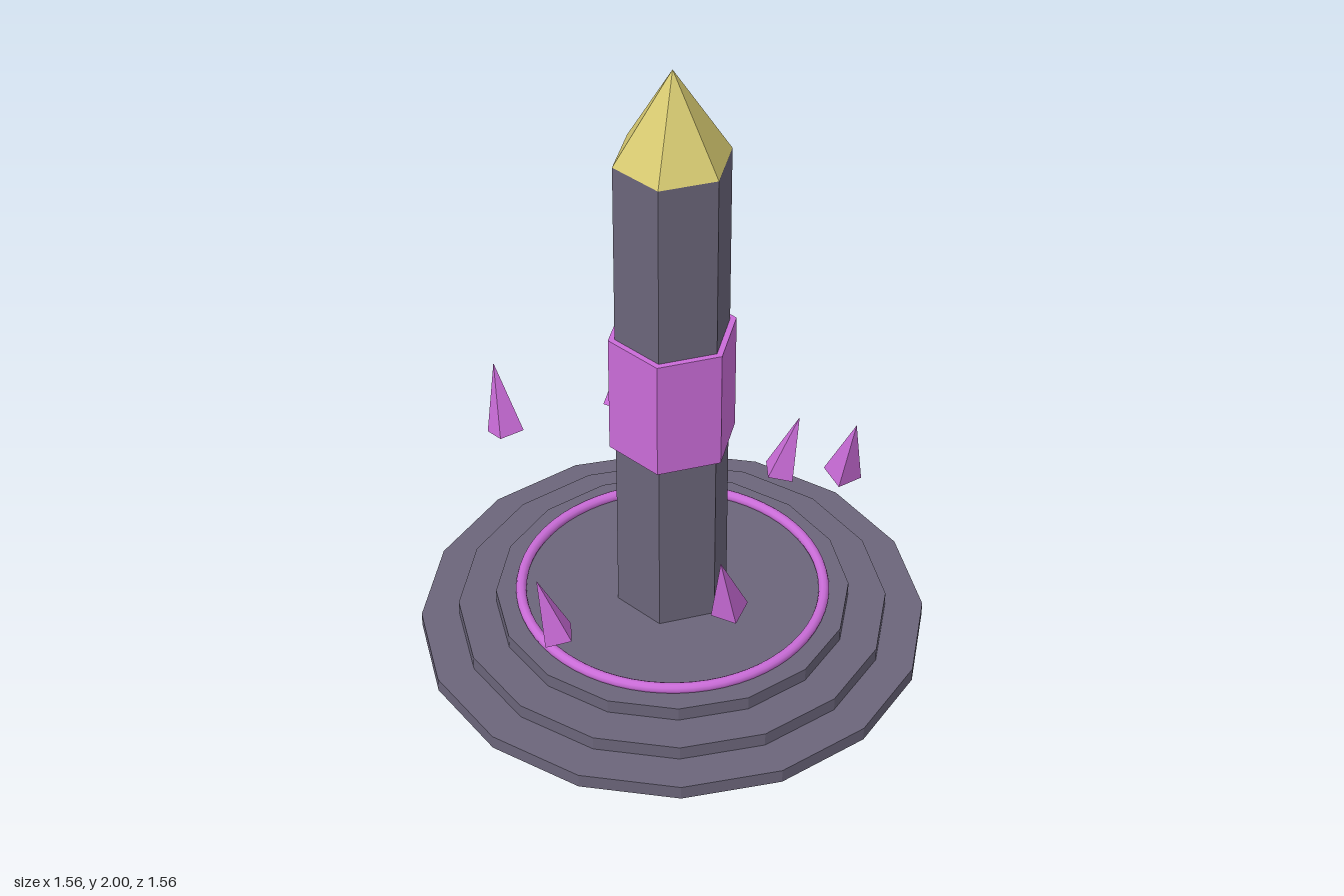
import * as THREE from 'three';

function flat(name, color) {
  return new THREE.MeshStandardMaterial({ name, color, flatShading: true });
}

export function createModel() {
  const model = new THREE.Group();
  model.name = 'crystalObelisk';

  const stone = flat('stone', 0x6b657a);
  const gold = flat('gold', 0xd8cb72);
  const crystal = flat('crystal', 0xca6cd8);
  // Same colour, smooth normals for the round ring
  const glow = new THREE.MeshStandardMaterial({ name: 'crystalSmooth', color: 0xca6cd8 });

  const add = (name, geometry, material, y, parent = model) => {
    const mesh = new THREE.Mesh(geometry, material);
    mesh.name = name;
    mesh.position.y = y;
    parent.add(mesh);
    return mesh;
  };

  // Stepped sixteen-sided base
  const step = 0.045;
  [0.78, 0.663, 0.546].forEach((r, i) => {
    add(`baseStep${i + 1}`, new THREE.CylinderGeometry(r, r, step, 16), stone, step * (i + 0.5));
  });

  // Ring lying on the top step
  const ring = add('ring', new THREE.TorusGeometry(0.468, 0.0165, 10, 64), glow, 0.147);
  ring.rotation.x = -Math.PI / 2;

  // Hexagonal column, band and pointed cap
  add('column', new THREE.CylinderGeometry(0.175, 0.175, 1.58, 6), stone, 0.925);
  add('band', new THREE.CylinderGeometry(0.195, 0.195, 0.39, 6), crystal, 0.93);
  add('cap', new THREE.ConeGeometry(0.175, 0.285, 6), gold, 1.8575);

  // Floating shards, leaning outward and sideways, at three repeating heights
  const shardGeometry = new THREE.ConeGeometry(0.057, 0.225, 4);
  for (let i = 0; i < 6; i++) {
    const arm = new THREE.Group();
    arm.name = `shardArm${i + 1}`;
    arm.rotation.y = -i * Math.PI / 3;
    model.add(arm);
    const shard = add('shard', shardGeometry, crystal, 0.39 + 0.195 * ((i % 3 === 0) ? 0 : (i % 3 === 1) ? 2 : 1), arm);
    shard.position.x = 0.534;
    shard.position.z = 0.004;
    shard.rotation.set(0.19, 0, -0.19);
  }

  return model;
}
